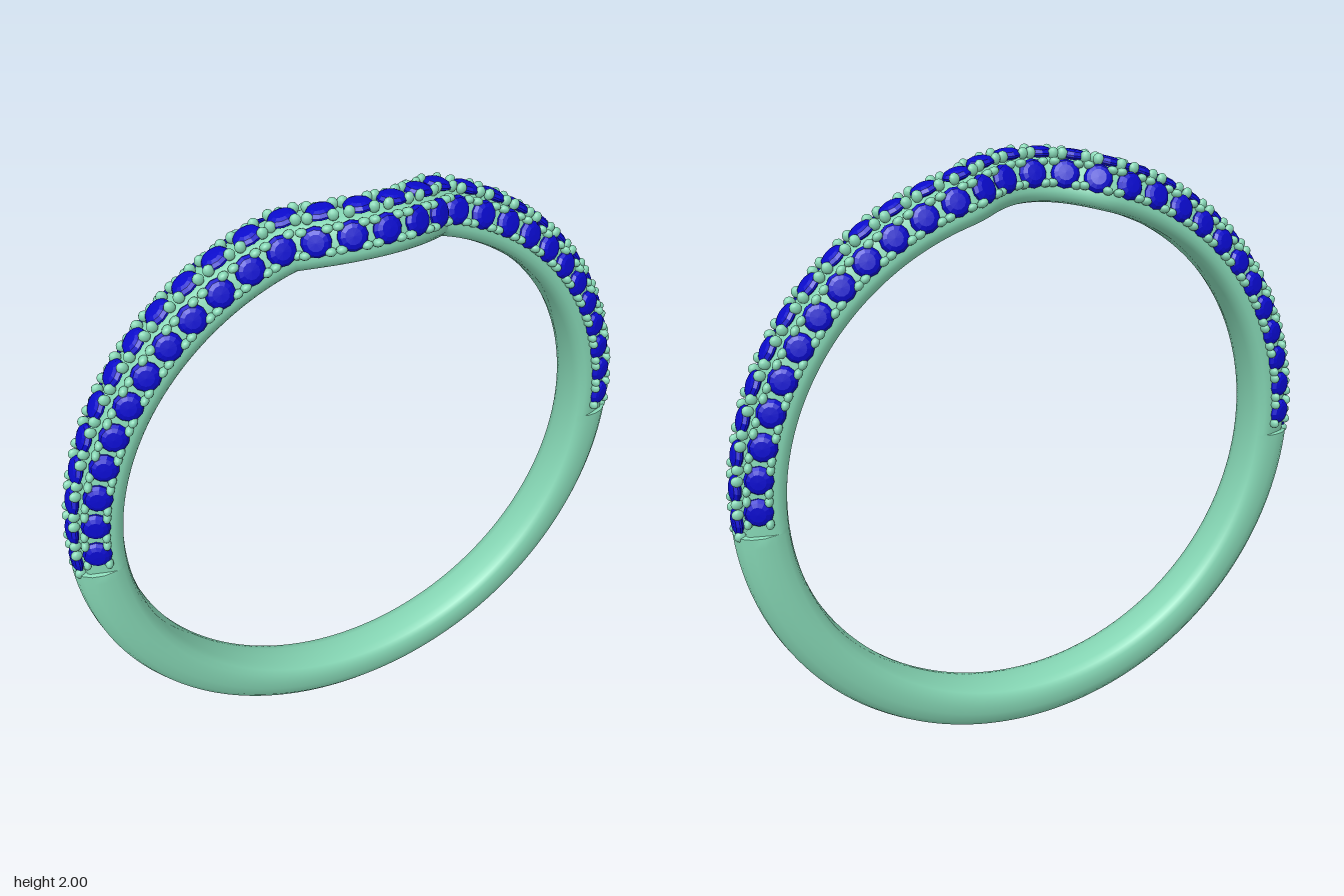
import * as THREE from 'three';
import { mergeGeometries, toCreasedNormals } from 'three/addons/utils/BufferGeometryUtils.js';

const DEG = Math.PI / 180;
const PAVE_END = 92.5 * DEG;

// sideways position of the band: straight, with a forward bend at the top
function bandZ(t) {
  if (Math.cos(t) < 0) return -0.045;
  const x = 0.95 * Math.sin(t);
  const o = 0.092 * (1 - (x / 0.24) ** 2);
  return -0.045 + 0.5 * (o + Math.sqrt(o * o + 0.0002));
}

// local frame at angle t from the top: along, outward, across
function frame(t) {
  const e = 0.002;
  const slope = (bandZ(t + e) - bandZ(t - e)) / (2 * e * 0.95);
  const out = new THREE.Vector3(Math.sin(t), Math.cos(t), 0);
  const along = new THREE.Vector3(Math.cos(t), -Math.sin(t), slope).normalize();
  return { out, along, across: along.clone().cross(out) };
}

function pointAt(t, b, r) {
  const f = frame(t);
  return new THREE.Vector3(0, 1, bandZ(t)).addScaledVector(f.out, r).addScaledVector(f.across, b);
}

// half sections [across, radius], inner middle to outer middle
const PLAIN = [[0, 0.833], [0.04, 0.835], [0.068, 0.843], [0.08, 0.86], [0.083, 0.89],
  [0.081, 0.92], [0.07, 0.955], [0.05, 0.98], [0.025, 0.993], [0, 0.997]];
const PAVE = [[0, 0.833], [0.04, 0.835], [0.068, 0.843], [0.08, 0.86], [0.082, 0.875],
  [0.079, 0.892], [0.056, 0.957], [0.048, 0.964], [0.025, 0.966], [0, 0.966]];
const fullSection = (half) => [...half, ...half.slice(1, -1).reverse().map(([b, r]) => [-b, r])];

// closed sweep, stepping from the plain to the recessed section at both ends
function bandGeometry() {
  const plain = fullSection(PLAIN), pave = fullSection(PAVE), n = plain.length;
  const rings = [];
  const span = (from, to, count, section) => {
    for (let i = 0; i <= count; i++) rings.push([from + (to - from) * i / count, section]);
  };
  const gap = 0.2 * DEG;
  span(-PAVE_END, PAVE_END, 160, pave);
  span(PAVE_END + gap, 2 * Math.PI - PAVE_END - gap, 90, plain);
  const pos = [], idx = [];
  rings.forEach(([t, section], i) => {
    const next = (i + 1) % rings.length;
    section.forEach(([b, r], j) => {
      pos.push(...pointAt(t, b, r).toArray());
      const k = (j + 1) % n;
      const a = i * n + j, c = next * n + j, d = next * n + k, e = i * n + k;
      idx.push(a, c, e, c, d, e);
    });
  });
  const g = new THREE.BufferGeometry();
  g.setAttribute('position', new THREE.Float32BufferAttribute(pos, 3));
  g.setIndex(idx);
  return toCreasedNormals(g, 40 * DEG);
}

// matrices for stones spaced evenly by length along one row
function rowMatrices(count, endAngle, b, r, tilt) {
  const N = 1200, angles = [], lengths = [0];
  let prev = null;
  for (let i = 0; i <= N; i++) {
    const t = -endAngle + 2 * endAngle * i / N;
    const p = pointAt(t, b, r);
    if (prev) lengths.push(lengths[i - 1] + p.distanceTo(prev));
    angles.push(t);
    prev = p;
  }
  const result = [];
  for (let k = 0; k < count; k++) {
    const target = lengths[N] * k / (count - 1);
    let i = lengths.findIndex((l) => l >= target - 1e-9);
    if (i < 0) i = N;
    const t = angles[i], f = frame(t);
    const normal = f.out.clone().multiplyScalar(Math.cos(tilt)).addScaledVector(f.across, Math.sin(tilt));
    const side = f.along.clone().cross(normal);
    result.push(new THREE.Matrix4().makeBasis(f.along, normal, side).setPosition(pointAt(t, b, r)));
  }
  return result;
}

// round cut stone: point, girdle, crown, table
function stoneGeometry() {
  const profile = [[0, -0.025], [0.044, -0.003], [0.044, 0.003], [0.036, 0.013], [0.024, 0.018], [0, 0.019]];
  return new THREE.LatheGeometry(profile.map(([x, y]) => new THREE.Vector2(x, y)), 12);
}

// four beads holding one stone
function prongGeometry() {
  const beads = [];
  for (const sx of [-1, 1]) for (const sz of [-1, 1]) {
    const bead = new THREE.SphereGeometry(1, 10, 7);
    bead.scale(0.017, 0.018, 0.013);
    bead.translate(sx * 0.036, 0.004, sz * 0.032);
    beads.push(bead);
  }
  return mergeGeometries(beads);
}

const repeat = (geometry, matrices) =>
  mergeGeometries(matrices.map((m) => geometry.clone().applyMatrix4(m)));

export function createModel() {
  const group = new THREE.Group();
  const metal = new THREE.MeshStandardMaterial({ color: 0x85d6b4 });
  const blue = new THREE.MeshStandardMaterial({ color: 0x0a0acc, flatShading: true });
  const add = (name, geometry, material) => {
    const mesh = new THREE.Mesh(geometry, material);
    mesh.name = name;
    group.add(mesh);
  };

  add('band', bandGeometry(), metal);

  // outer row, and a staggered row on each side
  const rows = [
    ['outer', 30, 90.6 * DEG, 0, 0.976, 0],
    ['front', 29, 87.5 * DEG, 0.071, 0.927, 70 * DEG],
    ['back', 29, 87.5 * DEG, -0.071, 0.927, -70 * DEG],
  ];
  const stone = stoneGeometry(), prongs = prongGeometry();
  for (const [name, ...layout] of rows) {
    const matrices = rowMatrices(...layout);
    add(name + 'Stones', repeat(stone, matrices), blue);
    add(name + 'Prongs', repeat(prongs, matrices), metal);
  }
  return group;
}
